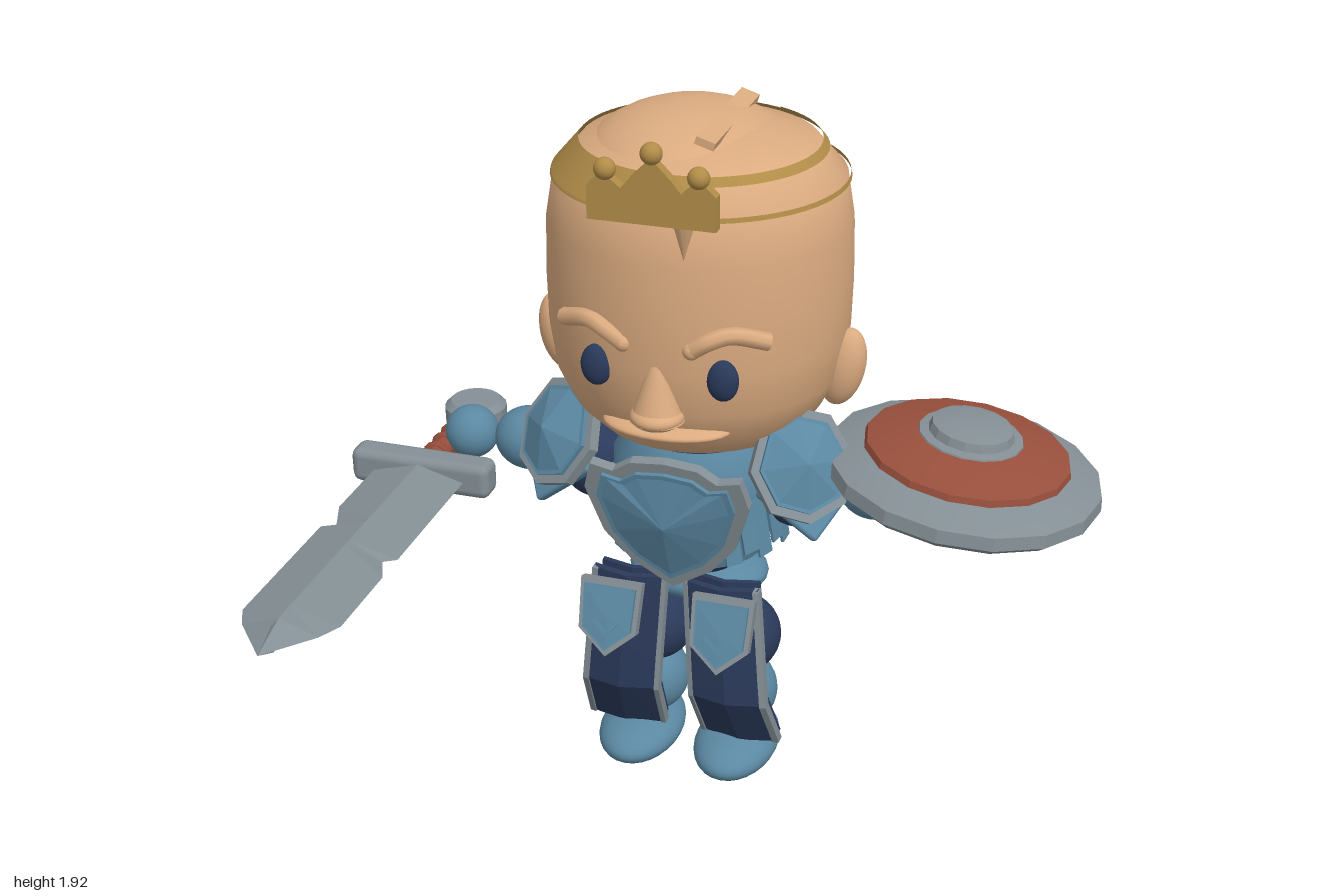
import * as THREE from 'three';
import { toCreasedNormals } from 'three/addons/utils/BufferGeometryUtils.js';
import { RoundedBoxGeometry } from 'three/addons/geometries/RoundedBoxGeometry.js';

const CX = -0.08, CZ = -0.4; // body axis
const V2 = (p) => new THREE.Vector2(p[0], p[1]);

export function createModel() {
  const root = new THREE.Group();
  const mat = (name, color) => {
    const m = new THREE.MeshStandardMaterial({ color, side: THREE.DoubleSide });
    m.name = name;
    return m;
  };
  const skin = mat('skin', 0xdbab80), navy = mat('navy', 0x2b3a5b), teal = mat('blue armour', 0x5b88a2);
  const steel = mat('steel', 0x848f95), red = mat('red leather', 0x984f3c), gold = mat('gold', 0xb18c48);
  const strapBrown = mat('strap brown', 0x86685c);

  const add = (name, geo, material, x = 0, y = 0, z = 0, parent = root) => {
    const m = new THREE.Mesh(geo, material);
    m.name = name;
    m.position.set(x, y, z);
    parent.add(m);
    return m;
  };
  const ball = (name, material, x, y, z, rx, ry = rx, rz = rx) => {
    const m = add(name, new THREE.SphereGeometry(1, 28, 18), material, x, y, z);
    m.scale.set(rx, ry, rz);
    return m;
  };
  const lathe = (pts, segs, start = 0, len = Math.PI * 2) => new THREE.LatheGeometry(pts.map(V2), segs, start, len);
  const extrude = (pts, depth) => new THREE.ExtrudeGeometry(new THREE.Shape(pts.map(V2)), { depth, bevelEnabled: false });

  // Armour plate: steel rim, raised blue field and a faceted peak; half outline runs top to bottom
  const plate = (name, half, peak, cy) => {
    const g = new THREE.Group();
    g.name = name;
    const pts = [...half, ...half.slice(1, -1).reverse().map(([x, y]) => [-x, y])];
    const inner = pts.map(([x, y]) => [x * 0.84, cy + (y - cy) * 0.84]);
    add('plateRim', extrude(pts, 0.03), steel, 0, 0, 0, g);
    add('plateField', extrude(inner, 0.042), teal, 0, 0, 0, g);
    const v = [];
    inner.forEach((p, i) => {
      const q = inner[(i + 1) % inner.length];
      v.push(0, cy, 0.043 + peak, q[0] * 0.92, cy + (q[1] - cy) * 0.92, 0.043, p[0] * 0.92, cy + (p[1] - cy) * 0.92, 0.043);
    });
    const fan = new THREE.BufferGeometry();
    fan.setAttribute('position', new THREE.Float32BufferAttribute(v, 3));
    fan.computeVertexNormals();
    add('platePeak', fan, teal, 0, 0, 0, g);
    root.add(g);
    return g;
  };

  // Head
  add('head', lathe([[0, 1.0], [0.2, 1.02], [0.27, 1.05], [0.33, 1.11], [0.375, 1.2], [0.393, 1.32], [0.396, 1.45],
    [0.392, 1.6], [0.372, 1.72], [0.3, 1.8], [0.15, 1.84], [0, 1.85]], 40), skin, CX, 0, CZ).scale.z = 0.97;
  ball('hairTop', skin, -0.115, 1.72, -0.42, 0.28, 0.16, 0.32);
  const lock = add('hairLock', new THREE.ConeGeometry(0.035, 0.12, 8), skin, -0.01, 1.68, -0.03);
  lock.rotation.x = Math.PI;
  const parting = add('hairParting', new THREE.BoxGeometry(0.05, 0.02, 0.4), skin, -0.01, 1.855, -0.4);
  parting.rotation.z = -0.3;

  // Face
  const nose = add('nose', new THREE.ConeGeometry(0.07, 0.2, 20), skin, CX, 1.29, -0.035);
  nose.scale.z = 0.95;
  ball('noseTip', skin, CX, 1.2, -0.035, 0.069, 0.033, 0.07);
  ball('lowerLip', skin, CX, 1.14, -0.12, 0.17, 0.027, 0.1);
  for (const s of [-1, 1]) {
    ball('eye', navy, CX + s * 0.163, 1.31, -0.052, 0.041, 0.055, 0.028);
    const brow = new THREE.CatmullRomCurve3([[0.085, 1.385, -0.035], [0.13, 1.415, -0.035], [0.18, 1.43, -0.055], [0.265, 1.405, -0.105]]
      .map(([x, y, z]) => new THREE.Vector3(CX + s * x, y, z)));
    add('brow', new THREE.TubeGeometry(brow, 16, 0.023, 8), skin);
    ball('browEnd', skin, CX + s * 0.088, 1.387, -0.035, 0.023);
    ball('ear', skin, CX + s * 0.385, 1.225, CZ, 0.058, 0.11, 0.052).rotation.z = s * -0.2;
  }

  // Crown: band, swept over the left side by the hair, with a pointed front
  add('crownBand', lathe([[0.379, 1.715], [0.376, 1.725], [0.306, 1.805]], 36, 2.6, 4.05), gold, CX, 0, CZ).scale.z = 0.975;
  add('crownBandEdge', lathe([[0.323, 1.785], [0.306, 1.805]], 24, 0.3, 2.4), gold, CX, 0, CZ);
  add('crownLine', lathe([[0.381, 1.713], [0.378, 1.725]], 24, 0.3, 2.4), gold, CX, 0, CZ).scale.z = 0.975;
  add('crownFront', extrude([[-0.16, 1.715], [0.16, 1.715], [0.16, 1.8], [0.12, 1.835], [0.075, 1.8], [0.05, 1.83], [0, 1.88],
    [-0.05, 1.83], [-0.075, 1.8], [-0.12, 1.835], [-0.16, 1.8]], 0.03), gold, CX, 0, -0.025);
  for (const [x, y] of [[-0.115, 1.842], [0, 1.89], [0.115, 1.842]]) ball('crownBall', gold, CX + x, y, -0.002, 0.027);

  // Torso
  add('torso', lathe([[0, 0.59], [0.12, 0.61], [0.17, 0.68], [0.19, 0.77], [0.2, 0.87], [0.18, 0.97], [0.1, 1.04]], 28), navy, CX, 0, CZ);
  ball('hips', teal, CX, 0.565, -0.405, 0.195, 0.065, 0.155);
  add('breastplateWrap', lathe([[0.185, 0.66], [0.215, 0.74], [0.235, 0.84], [0.23, 0.94], [0.19, 1.01]], 16, -1.5, 3), teal, CX, 0, CZ);

  // Loose slats around the waist
  for (const s of [-1, 1]) for (let i = 0; i < 5; i++) {
    const a = s * (0.65 + i * 0.2);
    const slat = add('waistSlat', new THREE.BoxGeometry(0.045, 0.17, 0.008), teal, CX + Math.sin(a) * 0.24, 0.79 + (i % 2) * 0.025, CZ + Math.cos(a) * 0.25);
    slat.rotation.set(-0.12, a, s * 0.12, 'YXZ');
  }

  // Chest, back and shoulder plates
  const chest = plate('chestPlate', [[0, 0.21], [0.09, 0.2], [0.14, 0.165], [0.2, 0.18], [0.222, 0.1], [0.18, -0.04], [0.11, -0.13], [0, -0.205]], 0.035, 0.03);
  chest.position.set(CX, 0.84, -0.15);
  chest.rotation.x = 0.2;
  const back = plate('backPlate', [[0, 0.14], [0.2, 0.14], [0.22, 0.04], [0.16, -0.09], [0.07, -0.14], [0, -0.15]], 0.005, 0);
  back.position.set(CX, 0.87, -0.585);
  back.rotation.set(0.15, Math.PI, 0, 'YXZ');
  for (let i = 0; i < 3; i++) {
    const d = add('backDiamond', new THREE.CylinderGeometry(1, 1, 0.012, 4), steel, 0, 0.075 - i * 0.07, 0.05, back);
    d.rotation.x = Math.PI / 2;
    d.scale.set(0.065, 1, 0.036);
  }
  for (const s of [-1, 1]) {
    const pad = plate('shoulderPad', [[0, 0.15], [0.09, 0.12], [0.14, 0], [0.1, -0.11], [0, -0.15]], 0.045, 0);
    pad.position.set(CX + s * 0.32, 1.01, -0.23);
    pad.lookAt(CX + s * 0.8, 1.5, 0.52);
    const under = add('shoulderUnderPlate', new RoundedBoxGeometry(0.2, 0.2, 0.03, 1, 0.01), teal, s * 0.02, -0.06, -0.025, pad);
    under.rotation.z = Math.PI / 4;
  }

  // Arms
  const arm = (s, hand) => {
    ball('upperArm', navy, CX + s * 0.28, 0.865, CZ, 0.115);
    ball('forearm', teal, CX + s * 0.485, 0.89, CZ, 0.1, 0.088, 0.09);
    ball('hand', teal, ...hand, 0.074);
  };
  arm(-1, [-0.73, 0.895, -0.38]);
  arm(1, [0.565, 0.87, -0.39]);

  // Legs
  for (const s of [-1, 1]) {
    ball('thigh', navy, CX + s * 0.125, 0.375, -0.39, 0.114);
    ball('calf', teal, CX + s * 0.13, 0.2, -0.38, 0.105, 0.11, 0.108);
    ball('foot', teal, CX + s * 0.14, 0.066, -0.315, 0.116, 0.066, 0.186);
  }

  // Hanging cloth: a box bent along the fall of the fabric, u across and v down
  const cloth = (s, u0, u1, depth, lift) => {
    const g = new THREE.BoxGeometry(1, 1, depth, 4, 6, 1);
    const p = g.attributes.position;
    for (let i = 0; i < p.count; i++) {
      const u = u0 + (p.getX(i) + 0.5) * (u1 - u0), v = 0.5 - p.getY(i);
      const bend = Math.max(0, v - 0.66) * 0.32;
      const x = 0.025 + v * 0.03 + u * 0.205 + v * u * 0.015;
      p.setXYZ(i, CX + s * x, 0.645 - v * 0.525, p.getZ(i) - 0.165 + v * 0.025 - bend - Math.abs(u - 0.5) * 0.05 + lift);
    }
    // keep faces outward on the mirrored side
    if (s < 0) for (let i = 0, a = g.index.array; i < a.length; i += 3) [a[i], a[i + 1]] = [a[i + 1], a[i]];
    return toCreasedNormals(g, 0.3);
  };
  const tabHalf = [[0, 0.1], [0.085, 0.1], [0.08, -0.04], [0, -0.11]];
  for (const s of [-1, 1]) {
    add('clothPanel', cloth(s, 0, 1, 0.02, 0), navy);
    add('clothBackLayer', cloth(s, 0.05, 0.95, 0.015, -0.045), navy);
    for (const [a, b] of [[-0.01, 0.05], [0.93, 1.01]]) add('clothTrim', cloth(s, a, b, 0.03, 0.002), steel);
    const tab = plate('hipTab', tabHalf, 0.004, 0);
    tab.position.set(CX + s * 0.155, 0.55, -0.105);
    tab.rotation.x = -0.33;
    for (const t of [-1, 1]) {
      const bar = add('tabChevron', new THREE.BoxGeometry(0.05, 0.01, 0.008), teal, t * 0.018, -0.025, 0.049, tab);
      bar.rotation.z = t * 0.8;
    }
  }

  // Shield
  const shield = new THREE.Group();
  shield.name = 'shield';
  shield.position.set(0.64, 1.0, -0.38);
  shield.rotation.z = -0.12;
  root.add(shield);
  const disc = (name, pts, m) => add(name, toCreasedNormals(lathe(pts, 16), 0.3), m, 0, 0, 0, shield);
  disc('shieldRim', [[0, 0.03], [0.15, 0.015], [0.3, -0.03], [0.34, -0.055], [0.363, -0.035], [0.358, 0.0], [0.27, 0.035], [0.12, 0.06]], steel);
  disc('shieldRing', [[0.272, 0.03], [0.266, 0.052], [0.14, 0.088], [0, 0.09]], red);
  disc('shieldBoss', [[0.14, 0.08], [0.135, 0.092], [0.112, 0.096], [0.105, 0.118], [0.06, 0.128], [0, 0.13]], steel);
  ball('shieldGrip', strapBrown, 0.67, 0.935, -0.39, 0.115, 0.065, 0.065);

  // Sword
  const sword = new THREE.Group();
  sword.name = 'sword';
  sword.position.set(-0.8, 0.853, 0);
  root.add(sword);
  const edge = [[-0.13, -0.17], [-0.13, 0.06], [-0.095, 0.15], [-0.13, 0.17], [-0.13, 0.6], [-0.1, 0.66], [0, 0.775],
    [0.1, 0.66], [0.13, 0.6], [0.13, 0.36], [0.098, 0.29], [0.13, 0.27], [0.13, -0.17]];
  const ev = [];
  for (let i = 0; i < edge.length - 1; i++) {
    const [a, b] = [edge[i], edge[i + 1]];
    const ridge = (p) => Math.min(p[1], 0.7);
    for (const h of [0.036, -0.036]) {
      const A = [a[0], 0, a[1]], B = [b[0], 0, b[1]], C = [0, h, ridge(b)], D = [0, h, ridge(a)];
      ev.push(...(h > 0 ? [A, B, C, A, C, D] : [A, C, B, A, D, C]).flat());
    }
  }
  const blade = new THREE.BufferGeometry();
  blade.setAttribute('position', new THREE.Float32BufferAttribute(ev, 3));
  blade.computeVertexNormals();
  add('blade', blade, steel, 0, 0, 0, sword);
  add('guard', new RoundedBoxGeometry(0.4, 0.1, 0.085, 2, 0.025), steel, 0, 0.002, -0.2, sword);
  add('grip', new THREE.CylinderGeometry(0.032, 0.032, 0.28, 10), red, 0, 0, -0.37, sword).rotation.x = Math.PI / 2;
  for (const z of [-0.47, -0.41, -0.35, -0.29]) add('gripWrap', new THREE.TorusGeometry(0.031, 0.011, 6, 12), red, 0, 0, z, sword);
  add('pommel', toCreasedNormals(lathe([[0, -0.04], [0.07, -0.04], [0.088, -0.022], [0.088, 0.022], [0.07, 0.04], [0, 0.04]], 20), 0.5), steel, 0, 0, -0.575, sword);

  return root;
}
